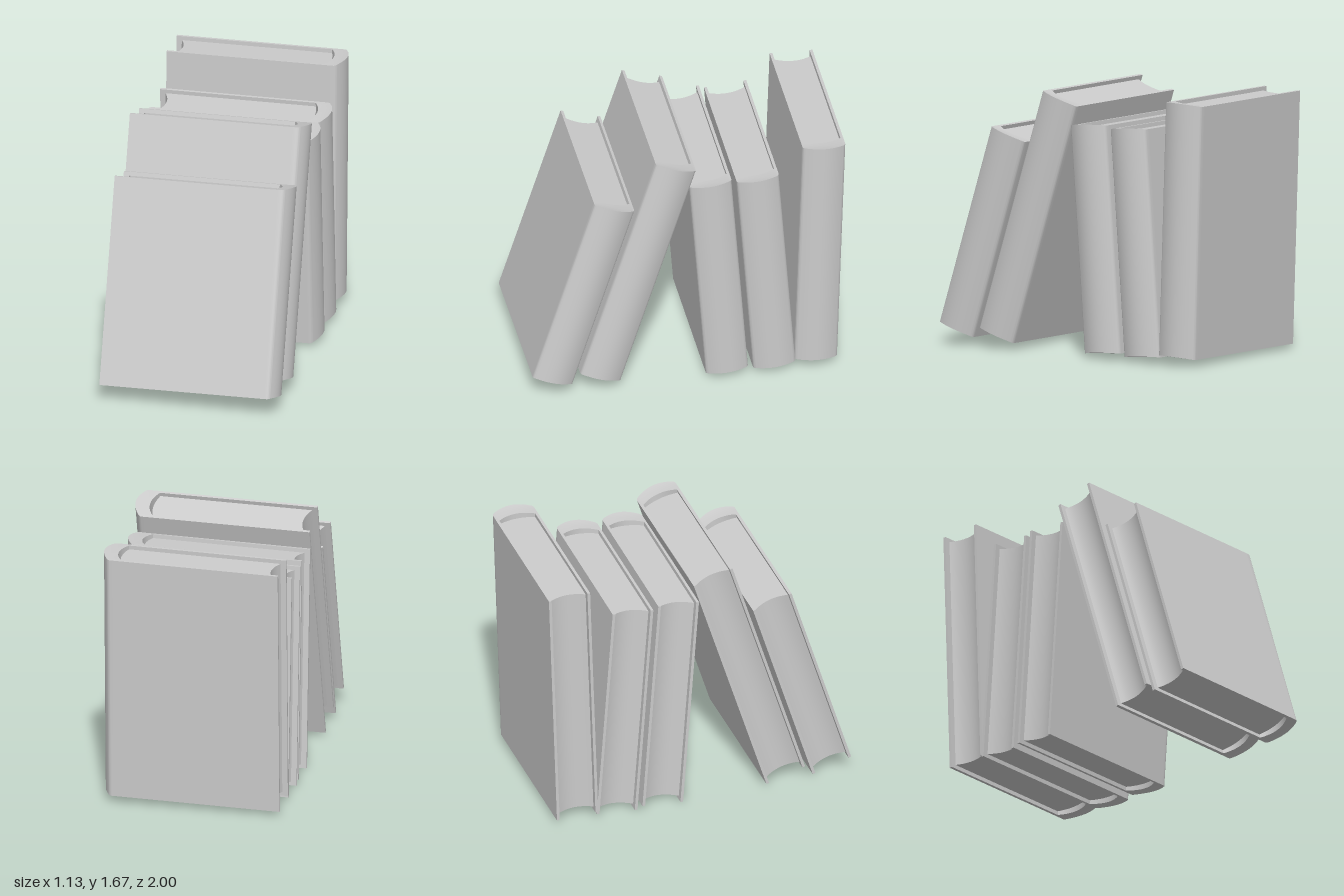
import * as THREE from 'three';
import { toCreasedNormals } from 'three/addons/utils/BufferGeometryUtils.js';

const FORE = -0.57; // x of the boards' open edge
const BOARD = 0.018; // board thickness
const INSET = 0.025; // pages set back from the ends of the cover

const material = new THREE.MeshStandardMaterial({ color: 0xcccccc });

// Extrudes a plan outline (x, z) upward, lifting it slightly toward the spine
function standUp(shape, height, y0) {
  const geometry = new THREE.ExtrudeGeometry(shape, { depth: height, bevelEnabled: false, curveSegments: 10 });
  geometry.rotateX(-Math.PI / 2);
  const p = geometry.attributes.position;
  for (let i = 0; i < p.count; i++) {
    const x = p.getX(i);
    p.setY(i, p.getY(i) + y0 + 0.02 * x + 0.2 * Math.max(0, x - 0.51));
  }
  return toCreasedNormals(geometry, 0.6);
}

// Two boards joined by a rounded spine, open at the fore edge
function coverShape(h) {
  const hi = h - BOARD;
  const s = new THREE.Shape();
  s.moveTo(FORE, -h);
  s.lineTo(0.48, -h);
  s.lineTo(0.5, -h);
  s.quadraticCurveTo(0.52, -h, 0.53, -0.85 * h);
  s.quadraticCurveTo(0.565, -0.42 * h, 0.565, 0);
  s.quadraticCurveTo(0.565, 0.42 * h, 0.53, 0.85 * h);
  s.quadraticCurveTo(0.52, h, 0.5, h);
  s.lineTo(0.48, h);
  s.lineTo(FORE, h);
  s.lineTo(FORE, hi);
  s.lineTo(0.435, hi);
  s.quadraticCurveTo(0.515, 0, 0.435, -hi);
  s.lineTo(FORE, -hi);
  s.closePath();
  return s;
}

// Page block: hollow fore edge, rounded back
function pagesShape(h) {
  const hi = h - BOARD - 0.001;
  const s = new THREE.Shape();
  s.moveTo(-0.535, -hi);
  s.lineTo(0.434, -hi);
  s.quadraticCurveTo(0.48, 0, 0.434, hi);
  s.lineTo(-0.535, hi);
  s.quadraticCurveTo(-0.465, 0, -0.535, -hi);
  return s;
}

function makeBook({ name, z, y, height, thickness, lean }) {
  const book = new THREE.Group();
  book.name = name;
  const cover = new THREE.Mesh(standUp(coverShape(thickness / 2), height, 0), material);
  cover.name = 'cover';
  const pages = new THREE.Mesh(standUp(pagesShape(thickness / 2), height - 2 * INSET, INSET), material);
  pages.name = 'pages';
  book.add(cover, pages);
  book.position.set(0, y, z);
  book.rotation.x = THREE.MathUtils.degToRad(lean);
  return book;
}

export function createModel() {
  const model = new THREE.Group();
  model.name = 'bookRow';
  const books = [
    { name: 'shortLeaningBook', z: 0.872, y: 0.085, height: 1.325, thickness: 0.266, lean: -17.3 },
    { name: 'tallLeaningBook', z: 0.567, y: 0.072, height: 1.608, thickness: 0.268, lean: -17.4 },
    { name: 'middleFrontBook', z: -0.243, y: 0.021, height: 1.437, thickness: 0.27, lean: 4.2 },
    { name: 'middleBackBook', z: -0.545, y: 0.021, height: 1.437, thickness: 0.27, lean: 4.2 },
    { name: 'tallBackBook', z: -0.808, y: 0.04, height: 1.605, thickness: 0.273, lean: -1.9 },
  ];
  for (const b of books) model.add(makeBook(b));
  return model;
}
